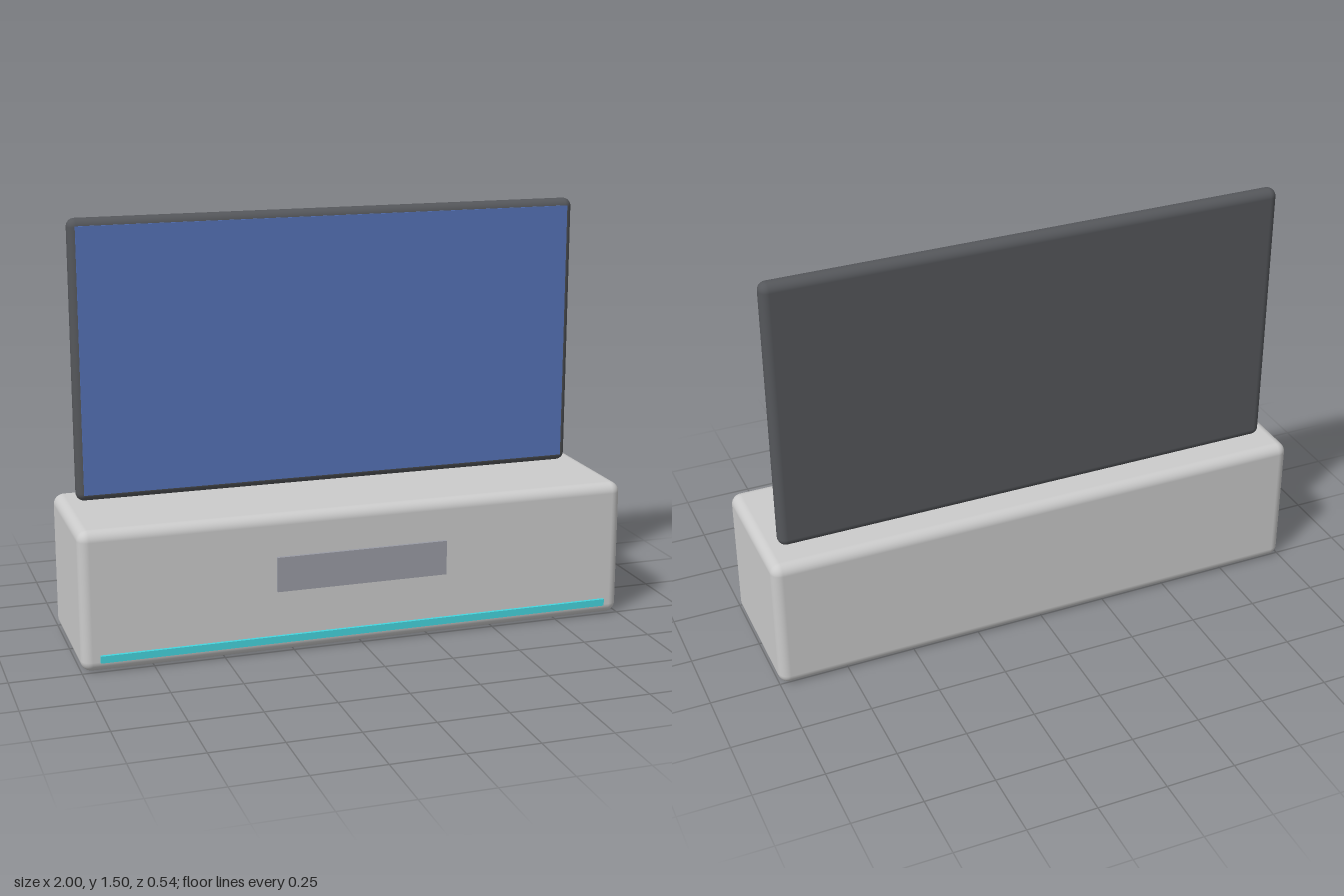
import * as THREE from 'three';
import { RoundedBoxGeometry } from 'three/addons/geometries/RoundedBoxGeometry.js';

export function createModel() {
  const model = new THREE.Group();
  model.name = 'televisionOnCabinet';

  // Adds a box, with rounded edges when a radius is given
  function addBox(name, [w, h, d], [x, y, z], color, radius = 0) {
    const geometry = radius
      ? new RoundedBoxGeometry(w, h, d, 4, radius)
      : new THREE.BoxGeometry(w, h, d);
    const mesh = new THREE.Mesh(geometry, new THREE.MeshStandardMaterial({ color }));
    mesh.name = name;
    mesh.position.set(x, y, z);
    model.add(mesh);
  }

  // Low cabinet with a drawer panel and a light strip on its front
  addBox('cabinet', [2, 0.5, 0.525], [0, 0.25, -0.006], 0xcccccc, 0.0375);
  addBox('drawerPanel', [0.625, 0.125, 0.025], [0, 0.2875, 0.256], 0x9a9ca5);
  addBox('lightStrip', [1.875, 0.025, 0.025], [0, 0.05, 0.256], 0x45d5de);

  // Television towards the back of the cabinet top
  addBox('televisionFrame', [1.875, 1, 0.0625], [0, 1, -0.131], 0x55575b, 0.03);
  addBox('screen', [1.825, 0.95, 0.0125], [0, 1, -0.102], 0x5573b8);

  return model;
}
